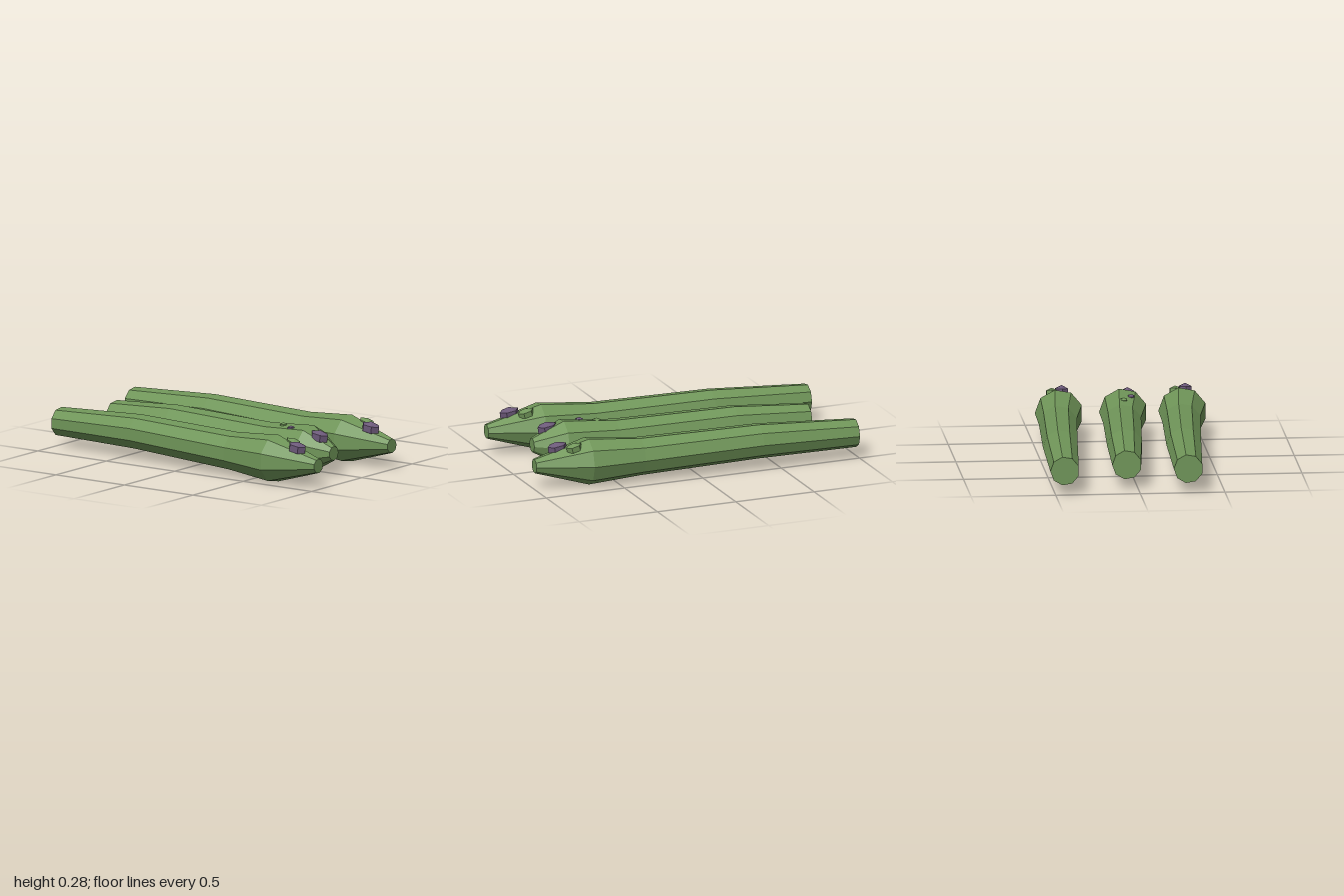
import * as THREE from 'three';

const SIDES = 9;

// Skin a nine-sided stalk through sections [x, centreY, centreZ, radius, lean]
function stalkGeometry(sections) {
  const rings = sections.map(([x, cy, cz, r, lean]) =>
    Array.from({ length: SIDES }, (_, i) => {
      const a = (i / SIDES) * Math.PI * 2;
      const dz = -r * Math.cos(a);
      return [x - lean * dz, cy + r * Math.sin(a), cz + dz];
    }));
  const pos = [];
  const tri = (a, b, c) => pos.push(...a, ...b, ...c);
  const first = rings[0], last = rings[rings.length - 1];
  const startCentre = sections[0].slice(0, 3);
  const endCentre = sections[sections.length - 1].slice(0, 3);
  for (let i = 0; i < SIDES; i++) {
    const j = (i + 1) % SIDES;
    for (let k = 0; k < rings.length - 1; k++) {
      const p = rings[k], q = rings[k + 1];
      tri(p[i], p[j], q[i]);
      tri(p[j], q[j], q[i]);
    }
    tri(startCentre, first[j], first[i]);
    tri(endCentre, last[i], last[j]);
  }
  const geo = new THREE.BufferGeometry();
  geo.setAttribute('position', new THREE.Float32BufferAttribute(pos, 3));
  geo.computeVertexNormals();
  return geo;
}

export function createModel() {
  const green = new THREE.MeshStandardMaterial({ color: 0x709659, flatShading: true });
  green.name = 'stalkGreen';
  const purple = new THREE.MeshStandardMaterial({ color: 0x6b5878, flatShading: true });
  purple.name = 'budPurple';

  const model = new THREE.Group();
  model.name = 'spears';

  // Small faceted bud lying on the sloping head
  const budGeo = new THREE.SphereGeometry(1, 6, 3);
  function addBud(parent, name, material, position, size, tilt) {
    const bud = new THREE.Mesh(budGeo, material);
    bud.name = name;
    bud.position.set(...position);
    bud.scale.set(...size);
    bud.rotation.z = tilt;
    parent.add(bud);
  }

  // Three spears side by side; the middle one is shorter
  const spears = [
    { name: 'frontSpear', z: 0, short: false },
    { name: 'middleSpear', z: -0.35, short: true },
    { name: 'backSpear', z: -0.73, short: false },
  ];
  for (const { name, z, short } of spears) {
    const spear = new THREE.Group();
    spear.name = name;
    spear.position.z = z;

    const stalk = new THREE.Mesh(stalkGeometry([
      short ? [-0.85, 0.143, 0.285, 0.087, 0.06] : [-0.995, 0.143, 0.285, 0.086, 0.05],
      [-0.39, 0.158, 0.315, 0.105, 0.05],
      [0.345, 0.14, 0.368, 0.115, 0.06],
      [0.665, 0.14, 0.4, 0.142, 0.09],
      [short ? 0.85 : 0.995, 0.14, 0.425, 0.043, 0.05],
    ]), green);
    stalk.name = 'stalk';
    spear.add(stalk);

    addBud(spear, 'tipBud', purple, [short ? 0.75 : 0.845, 0.23, 0.432], [0.068, 0.04, 0.048], -0.15);
    if (short) {
      addBud(spear, 'smallGreenBud', green, [0.455, 0.25, 0.385], [0.03, 0.022, 0.024], 0.1);
      addBud(spear, 'smallPurpleBud', purple, [0.545, 0.252, 0.435], [0.03, 0.02, 0.024], 0.1);
    } else {
      addBud(spear, 'greenBud', green, [0.765, 0.24, 0.365], [0.055, 0.032, 0.042], -0.25);
    }
    model.add(spear);
  }
  return model;
}
